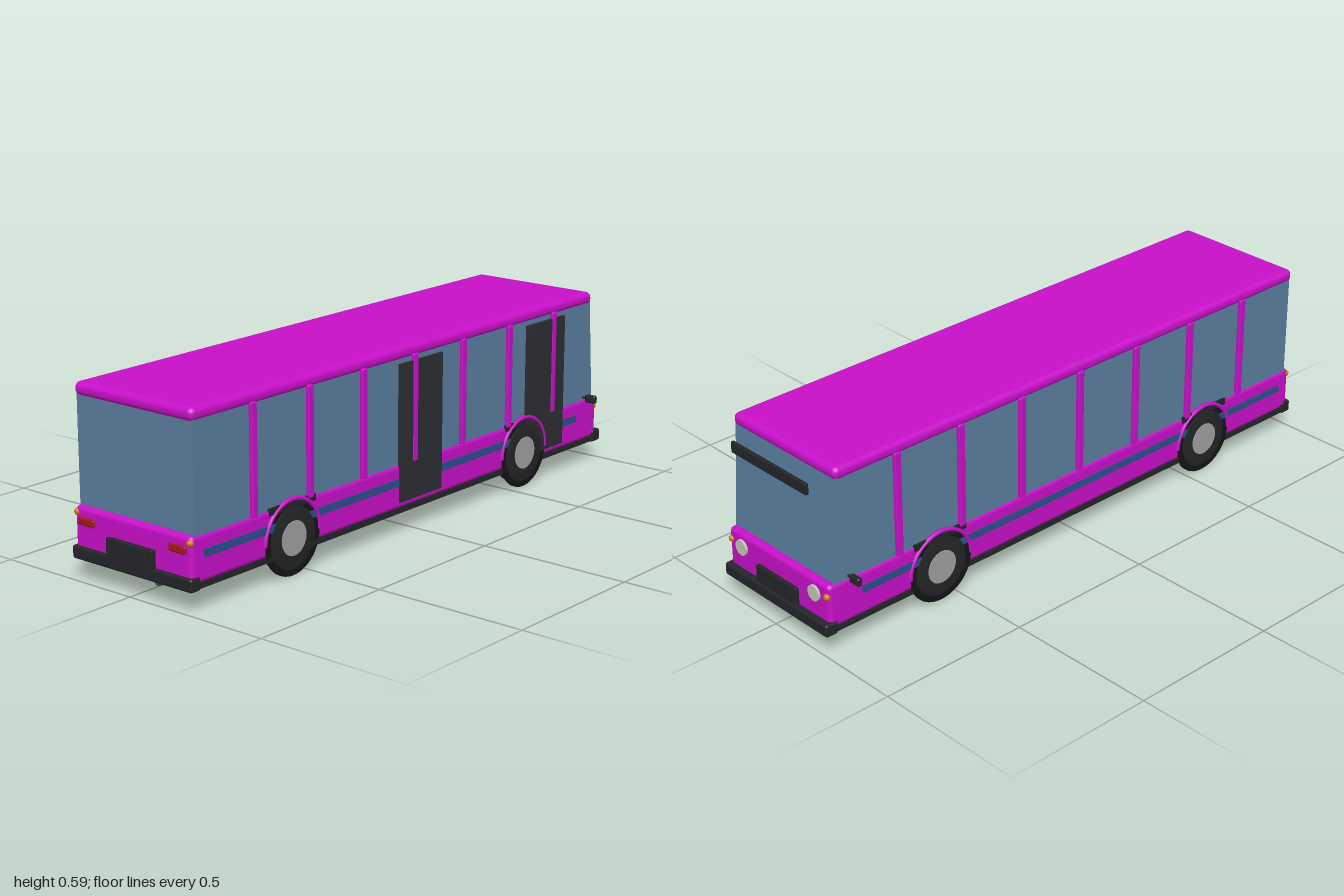
import * as THREE from 'three';
import { RoundedBoxGeometry } from 'three/addons/geometries/RoundedBoxGeometry.js';

const mat = (color) => new THREE.MeshStandardMaterial({ color });

export function createModel() {
  const bus = new THREE.Group();
  const paint = mat(0xc810c8), glass = mat(0x5a7d9e), black = mat(0x242528), under = mat(0x141414);
  const doorMat = mat(0x2c2e32), blue = mat(0x2c4f8c), red = mat(0xa01818), amber = mat(0xd07a10);
  const metal = mat(0xa0a0a0), lamp = mat(0xc8c4b4), grey = mat(0x444448);

  const add = (name, geometry, material, x = 0, y = 0, z = 0) => {
    const mesh = new THREE.Mesh(geometry, material);
    mesh.name = name;
    mesh.position.set(x, y, z);
    bus.add(mesh);
    return mesh;
  };
  // Box given by its extents; r > 0 rounds the edges
  const box = (name, material, [x0, x1], [y0, y1], [z0, z1], r = 0) => {
    const s = [x1 - x0, y1 - y0, z1 - z0];
    const g = r ? new RoundedBoxGeometry(...s, 3, r) : new THREE.BoxGeometry(...s);
    return add(name, g, material, (x0 + x1) / 2, (y0 + y1) / 2, (z0 + z1) / 2);
  };
  // Cylinder lying along x or z
  const disc = (name, material, radius, depth, axis, x, y, z, sides = 32) => {
    const g = new THREE.CylinderGeometry(radius, radius, depth, sides);
    if (axis === 'x') g.rotateZ(Math.PI / 2);
    else g.rotateX(Math.PI / 2);
    return add(name, g, material, x, y, z);
  };
  const span = (c, w) => [c - w / 2, c + w / 2];

  // Lower body, chassis and roof
  box('lowerBody', paint, [-0.232, 0.232], [0.08, 0.222], [-0.98, 0.985], 0.015);
  box('chassis', under, [-0.226, 0.226], [0.065, 0.09], [-0.97, 0.97]);
  box('roof', paint, [-0.232, 0.232], [0.545, 0.586], [-0.94, 0.975], 0.018);

  // Window block with a raked windscreen at the -z end
  const cabin = new THREE.Shape();
  cabin.moveTo(0.966, 0.215);
  cabin.lineTo(-0.958, 0.215);
  cabin.lineTo(-0.932, 0.56);
  cabin.lineTo(0.966, 0.56);
  cabin.closePath();
  const cabinGeo = new THREE.ExtrudeGeometry(cabin, { depth: 0.454, bevelEnabled: false });
  cabinGeo.rotateY(-Math.PI / 2);
  add('windows', cabinGeo, glass, 0.227, 0, 0);

  // Doors on the +x side
  for (const z of [-0.023, -0.675]) {
    box('door', doorMat, [0.2, 0.236], [0.1, 0.535], span(z, 0.206));
  }

  const wheelZ = [0.568, -0.563];
  const wheelY = 0.115;
  for (const s of [-1, 1]) {
    // Window pillars and side trim
    for (let i = 0; i < 7; i++) {
      box('windowPillar', paint, span(s * 0.23, 0.016), [0.218, 0.556], span(0.73 - i * 0.2413, 0.024), 0.004);
    }
    box('sideStripe', blue, span(s * 0.23, 0.009), [0.153, 0.177], [-0.86, 0.935]);
    box('sillRail', black, span(s * 0.226, 0.014), [0.066, 0.084], [-0.97, 0.97]);

    // Wheels with arches
    for (const z of wheelZ) {
      const well = disc('wheelWell', under, 0.118, 0.006, 'x', s * 0.23, wheelY, z, 40);
      well.scale.set(1, 0.115 / 0.118, 1);
      const tyre = new THREE.LatheGeometry([
        [0.05, -0.026], [0.092, -0.026], [0.1, -0.018], [0.1, 0.018], [0.092, 0.026], [0.05, 0.026],
      ].map(([r, h]) => new THREE.Vector2(r, h)), 40);
      tyre.rotateZ(Math.PI / 2);
      add('tyre', tyre, black, s * 0.211, wheelY, z);
      disc('wheelHub', metal, 0.053, 0.056, 'x', s * 0.211, wheelY, z);
      const arch = new THREE.TorusGeometry(0.118, 0.007, 8, 32, Math.PI);
      arch.rotateY(Math.PI / 2);
      add('wheelArch', arch, paint, s * 0.232, wheelY, z);
      box('archCorner', black, span(s * 0.229, 0.012), [0.205, 0.226], span(z, 0.2));
    }

    // Mirrors
    box('mirror', black, span(s * 0.261, 0.042), [0.215, 0.242], span(-0.905, 0.018), 0.007);
    box('mirrorArm', black, span(s * 0.235, 0.03), [0.226, 0.232], span(-0.905, 0.006));

    // Lights at both ends
    box('tailLight', red, span(s * 0.18, 0.064), [0.168, 0.192], [0.975, 0.992], 0.005);
    add('rearIndicator', new THREE.SphereGeometry(0.011, 16, 12), amber, s * 0.223, 0.203, 0.98);
    disc('headlight', lamp, 0.025, 0.02, 'z', s * 0.168, 0.178, -0.978);
    add('frontIndicator', new THREE.SphereGeometry(0.011, 16, 12), amber, s * 0.22, 0.185, -0.978);
  }

  // Bumpers and centre panels at both ends
  box('rearBumper', black, [-0.238, 0.238], [0.062, 0.103], [0.955, 0.995], 0.008);
  box('frontBumper', black, [-0.238, 0.238], [0.062, 0.103], [-1, -0.955], 0.008);
  box('rearPanel', black, [-0.092, 0.092], [0.1, 0.157], [0.97, 1], 0.003);
  box('frontGrille', black, [-0.092, 0.092], [0.1, 0.157], [-0.993, -0.965], 0.003);

  // Destination board standing off the windscreen
  box('destinationBoard', black, [-0.17, 0.17], [0.5, 0.536], [-0.996, -0.984], 0.003);

  // Underside equipment and exhaust
  box('engineTray', grey, [-0.06, 0.065], [0.053, 0.068], [0.07, 0.17]);
  box('tank', under, [-0.1, 0.02], [0.057, 0.068], [-0.48, -0.38]);
  box('underTray', grey, [0.05, 0.1], [0.058, 0.068], [-0.09, -0.06]);
  disc('exhaust', grey, 0.012, 0.3, 'z', 0.103, 0.066, 0.84, 20);

  return bus;
}
